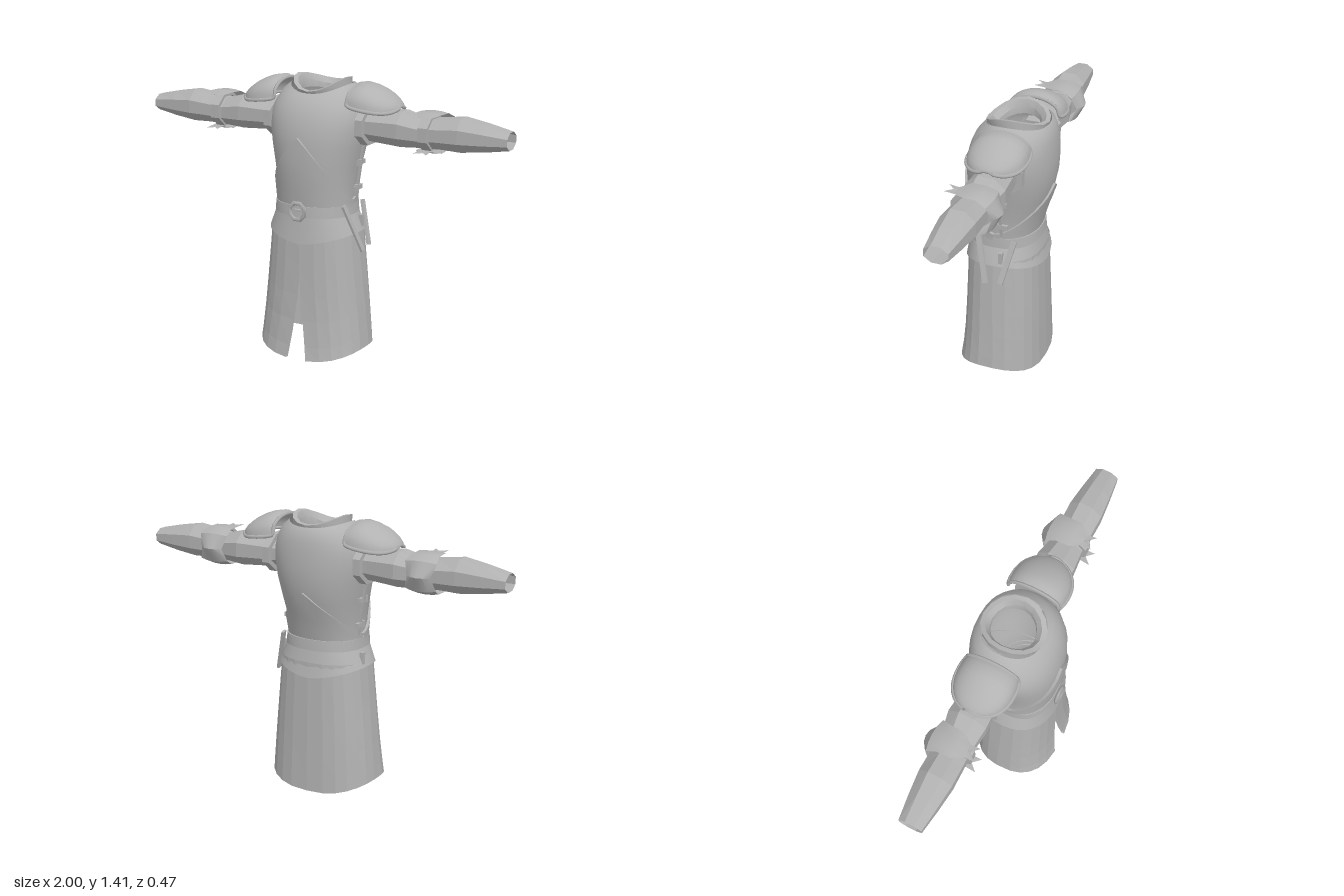
import * as THREE from 'three';
import { toCreasedNormals } from 'three/addons/utils/BufferGeometryUtils.js';

const steel = new THREE.MeshStandardMaterial({ color: 0xb2b2b2, side: THREE.DoubleSide });
steel.name = 'plain grey';

const FLAT = 0.01, SMOOTH = 0.7;
const power = (v, e) => Math.sign(v) * Math.abs(v) ** e;
const val = (v, a) => (typeof v === 'function' ? v(a) : v);

function add(parent, name, geometry) {
  const mesh = new THREE.Mesh(geometry, steel);
  mesh.name = name;
  parent.add(mesh);
  return mesh;
}

// Surface from a rule: fn(i, j) gives [x, y, z]
function grid(nu, nv, fn, crease = SMOOTH, closed = false) {
  const pos = [], index = [], cols = closed ? nu : nu + 1;
  for (let j = 0; j <= nv; j++) for (let i = 0; i < cols; i++) pos.push(...fn(i, j));
  for (let j = 0; j < nv; j++) for (let i = 0; i < nu; i++) {
    const k = (i + 1) % cols, a = j * cols + i, b = j * cols + k;
    index.push(a, b, a + cols, b, b + cols, a + cols);
  }
  const g = new THREE.BufferGeometry();
  g.setAttribute('position', new THREE.Float32BufferAttribute(pos, 3));
  g.setIndex(index);
  return toCreasedNormals(g, crease);
}

// Point on an oval cross-section: angle 0 is the front
function oval(a, y, hx, zf, zb, e = 0.9) {
  return [hx * power(Math.sin(a), e), y, (zf + zb) / 2 + (zf - zb) / 2 * power(Math.cos(a), e)];
}

// Closed shell through rows of [y, half width, front z, back z]
function shell(rows, n = 32, e = 0.9, crease = SMOOTH) {
  return grid(n, rows.length - 1, (i, j) => {
    const a = i / n * Math.PI * 2, [y, ...dims] = rows[j];
    return oval(a, val(y, a), ...dims, e);
  }, crease, true);
}

// Tube along x through rows of [x, centre y, half height, centre z, half depth]
function armTube(rows, n, crease) {
  return grid(n, rows.length - 1, (i, j) => {
    const t = (i + 0.5) / n * Math.PI * 2, [x, cy, ry, cz, rz] = rows[j];
    return [x, cy - ry * Math.sin(t) * 1.05, cz + rz * Math.cos(t) * 1.05];
  }, crease, true);
}

function box(parent, name, w, h, d, x, y, z) {
  const m = add(parent, name, new THREE.BoxGeometry(w, h, d));
  m.position.set(x, y, z);
  return m;
}

const torsoRows = [
  [0.72, 0.195, 0.175, -0.15], [0.8, 0.193, 0.175, -0.152], [0.9, 0.2, 0.19, -0.18],
  [1.0, 0.215, 0.203, -0.215], [1.1, 0.235, 0.205, -0.235], [1.18, 0.247, 0.2, -0.238],
  [1.25, 0.247, 0.18, -0.234],
];

function torsoAt(y) {
  let k = 0;
  while (k < torsoRows.length - 2 && y > torsoRows[k + 1][0]) k++;
  const p = torsoRows[k], q = torsoRows[k + 1], t = (y - p[0]) / (q[0] - p[0]);
  return [1, 2, 3].map(i => p[i] + (q[i] - p[i]) * t);
}

// Pointed plate laid over the chest or back
function overlay(start, apex, off) {
  const n = 24, levels = [0, 0.25, 0.5, 0.75, 1, 1];
  return grid(n, levels.length - 1, (i, j) => {
    const s = Math.abs(i / n * 2 - 1), a = start + i / n * Math.PI;
    const y = 0.79 + (0.035 + (apex - 0.825) * (1 - s) ** 1.4) * levels[j];
    const [hx, zf, zb] = torsoAt(y), o = j === 5 ? -0.004 : off;
    return oval(a, y, hx + o, zf + o, zb - o);
  }, 0.5);
}

function makeSkirt() {
  const n = 24, hem = a => 0.065 - 0.055 * Math.cos(a) ** 2;
  const levels = [0.7, 0.45, 0.2, 0, 0, 0.1, 0.3, 0.5, 0.72, 1];
  return grid(n, levels.length - 1, (i, j) => {
    const inset = j < 4 ? 0.014 : 0, f = levels[j];
    // Front slit widens towards the hem
    const slit = 0.055 * Math.max(0, 1 - f / 0.64);
    const s = Math.asin((slit / 0.28) ** (1 / 0.8));
    const a = s + i / n * (Math.PI * 2 - 2 * s);
    const y = hem(a) + (0.69 - hem(a)) * f, d = 1 - f;
    return oval(a, y, 0.228 + 0.062 * d - inset, 0.193 + 0.022 * d + 0.022 * d ** 5 - inset,
      -0.185 - 0.02 * d + inset, 0.8);
  }, FLAT);
}

function makePauldron() {
  const group = new THREE.Group(), nu = 8, nv = 14;
  // [x, crest y, half depth, edge y]
  const rows = [[0.205, 1.395, 0.135, 1.31], [0.235, 1.41, 0.143, 1.3], [0.28, 1.402, 0.145, 1.293],
    [0.32, 1.388, 0.14, 1.288], [0.355, 1.37, 0.128, 1.284], [0.385, 1.35, 0.108, 1.282],
    [0.41, 1.33, 0.08, 1.284], [0.425, 1.314, 0.05, 1.29], [0.43, 1.305, 0.025, 1.297]];
  const at = (i, j) => {
    const [x, top, w, low] = rows[i], t = (j / nv - 0.5) * Math.PI;
    return [x, low + (top - low) * Math.cos(t) ** 0.9, -0.045 - w * Math.sin(t)];
  };
  add(group, 'pauldronPlate', grid(nu, nv, at));
  // Raised border
  const edge = [];
  for (let i = 0; i <= nu; i++) edge.push(at(i, 0));
  for (let j = 4; j < nv; j += 4) edge.push(at(nu, j));
  for (let i = nu; i >= 0; i--) edge.push(at(i, nv));
  for (let j = nv - 2; j > 0; j -= 2) edge.push(at(0, j));
  const curve = new THREE.CatmullRomCurve3(edge.map(p => new THREE.Vector3(...p)), true);
  add(group, 'pauldronBorder', new THREE.TubeGeometry(curve, 72, 0.009, 5, true));
  return group;
}

function makeElbowGuard() {
  const group = new THREE.Group();
  // From front tip over the back: [z, height above centre, half width, ridge]
  const half = [[0.08, 0.085, 0.034, 0], [0.03, 0.08, 0.032, 0], [-0.02, 0.093, 0.068, 0.004],
    [-0.09, 0.09, 0.07, 0.008], [-0.14, 0.065, 0.082, 0.014]];
  const path = [...half, [-0.162, 0, 0.062, 0.028], ...half.map(([z, y, w, r]) => [z, -y, w, r]).reverse()];
  const last = path.length - 1;
  add(group, 'elbowPlate', grid(4, last, (i, j) => {
    const [z, y, w, r] = path[j], u = i / 2 - 1, bulge = r * (1 - u * u);
    const notch = j === 0 || j === last ? 0.035 * (1 - Math.abs(u)) : 0;
    const len = Math.hypot(y, z + 0.045);
    return [0.592 + u * w, 1.197 + y + bulge * y / len, z - notch + bulge * (z + 0.045) / len];
  }, 0.6));
  add(group, 'elbowStrap', armTube([[0.565, 1.197, 0.07, -0.045, 0.08], [0.565, 1.197, 0.085, -0.045, 0.1],
    [0.615, 1.197, 0.085, -0.045, 0.1], [0.615, 1.197, 0.07, -0.045, 0.08]], 8, FLAT));
  return group;
}

function makeArmholeRim() {
  const hexagon = (path, ry, rz) => {
    for (let i = 0; i < 8; i++) {
      const t = (i + 0.5) / 8 * Math.PI * 2;
      path[i ? 'lineTo' : 'moveTo'](rz * Math.cos(t), ry * Math.sin(t));
    }
    path.closePath();
    return path;
  };
  const shape = hexagon(new THREE.Shape(), 0.102, 0.128);
  shape.holes.push(hexagon(new THREE.Path(), 0.08, 0.1));
  return new THREE.ExtrudeGeometry(shape, { depth: 0.04, bevelEnabled: false })
    .rotateY(Math.PI / 2).translate(0.24, 1.2, -0.045);
}

function makeSide() {
  const side = new THREE.Group();
  add(side, 'sleeve', armTube([[0.19, 1.2, 0.07, -0.045, 0.085], [0.3, 1.2, 0.078, -0.045, 0.09],
    [0.45, 1.2, 0.088, -0.05, 0.1], [0.56, 1.19, 0.07, -0.045, 0.083], [0.66, 1.198, 0.075, -0.045, 0.085],
    [0.76, 1.203, 0.083, -0.045, 0.087], [0.88, 1.2, 0.066, -0.045, 0.075], [1.0, 1.197, 0.043, -0.045, 0.06]], 8, FLAT));
  add(side, 'armholeRim', makeArmholeRim());
  const pauldron = makePauldron(), guard = makeElbowGuard();
  pauldron.name = 'pauldron';
  guard.name = 'elbowGuard';
  side.add(pauldron, guard);
  // Side seam with buckled straps
  const seam = box(side, 'sideSeam', 0.012, 0.29, 0.014, 0.218, 0.965, -0.028);
  seam.rotation.z = -0.15;
  for (const [x, y] of [[0.222, 1.01], [0.208, 0.88]]) {
    box(side, 'sideStrap', 0.016, 0.022, 0.07, x, y, -0.03);
    box(side, 'sideBuckle', 0.026, 0.034, 0.016, x, y, -0.01);
  }
  box(side, 'waistBuckle', 0.02, 0.06, 0.02, 0.226, 0.71, -0.035);
  return side;
}

// Flat strap running between two points on the hip
function hangingStrap(parent, from, to) {
  const a = new THREE.Vector3(...from), b = new THREE.Vector3(...to), dir = b.clone().sub(a);
  const strap = box(parent, 'hangingStrap', 0.012, dir.length(), 0.028, 0, 0, 0);
  strap.position.copy(a).add(b).multiplyScalar(0.5);
  strap.quaternion.setFromUnitVectors(new THREE.Vector3(0, -1, 0), dir.normalize());
}

export function createModel() {
  const model = new THREE.Group();
  model.name = 'armouredTunic';
  // Breastplate with open neck
  const neck = (base, lift) => a => base + lift * Math.sin(a) ** 2 + (Math.cos(a) < 0 ? 0.02 * Math.cos(a) ** 2 : 0);
  add(model, 'breastplate', shell([...torsoRows, [1.3, 0.232, 0.157, -0.228],
    [neck(1.335, 0.025), 0.195, 0.128, -0.215], [neck(1.352, 0.04), 0.155, 0.108, -0.2]]));
  add(model, 'collar', shell([[neck(1.345, 0.04), 0.145, 0.105, -0.195], [neck(1.362, 0.062), 0.143, 0.115, -0.2],
    [neck(1.365, 0.055), 0.122, 0.09, -0.178], [neck(1.34, 0.05), 0.108, 0.065, -0.155],
    [neck(1.32, 0.03), 0.106, 0.062, -0.152]], 16, 1, 0.5));
  add(model, 'frontLowerPlate', overlay(-Math.PI / 2, 1.15, 0.013));
  add(model, 'backLowerPlate', overlay(Math.PI / 2, 1.055, 0.011));

  // Belt, waist guard and skirt
  add(model, 'belt', shell([[0.752, 0.185, 0.17, -0.15], [0.752, 0.208, 0.198, -0.176],
    [0.806, 0.205, 0.194, -0.172], [0.806, 0.185, 0.17, -0.15]], 32, 0.85, 0.5));
  const edge = a => 0.665 - 0.052 * (1 - Math.abs(Math.sin(a)) ** 1.2);
  add(model, 'waistGuard', shell([[edge, 0.225, 0.185, -0.175], [edge, 0.243, 0.207, -0.198],
    [a => (edge(a) + 0.77) / 2, 0.222, 0.196, -0.18], [0.77, 0.2, 0.188, -0.165]], 32, 0.85, 0.5));
  add(model, 'skirt', makeSkirt());

  // Belt buckle
  const buckle = add(model, 'beltBuckle', new THREE.TorusGeometry(0.044, 0.011, 4, 8).rotateZ(Math.PI / 8));
  buckle.position.set(0, 0.783, 0.212);
  box(model, 'buckleTongue', 0.035, 0.012, 0.014, 0, 0.787, 0.208);

  // Arms and side fittings, mirrored
  for (const s of [1, -1]) {
    const side = makeSide();
    side.name = s > 0 ? 'leftSide' : 'rightSide';
    side.scale.x = s;
    model.add(side);
  }
  hangingStrap(model, [0.195, 0.81, 0.095], [0.27, 0.575, 0.03]);
  hangingStrap(model, [0.2, 0.8, -0.095], [0.265, 0.585, -0.045]);
  return model;
}
